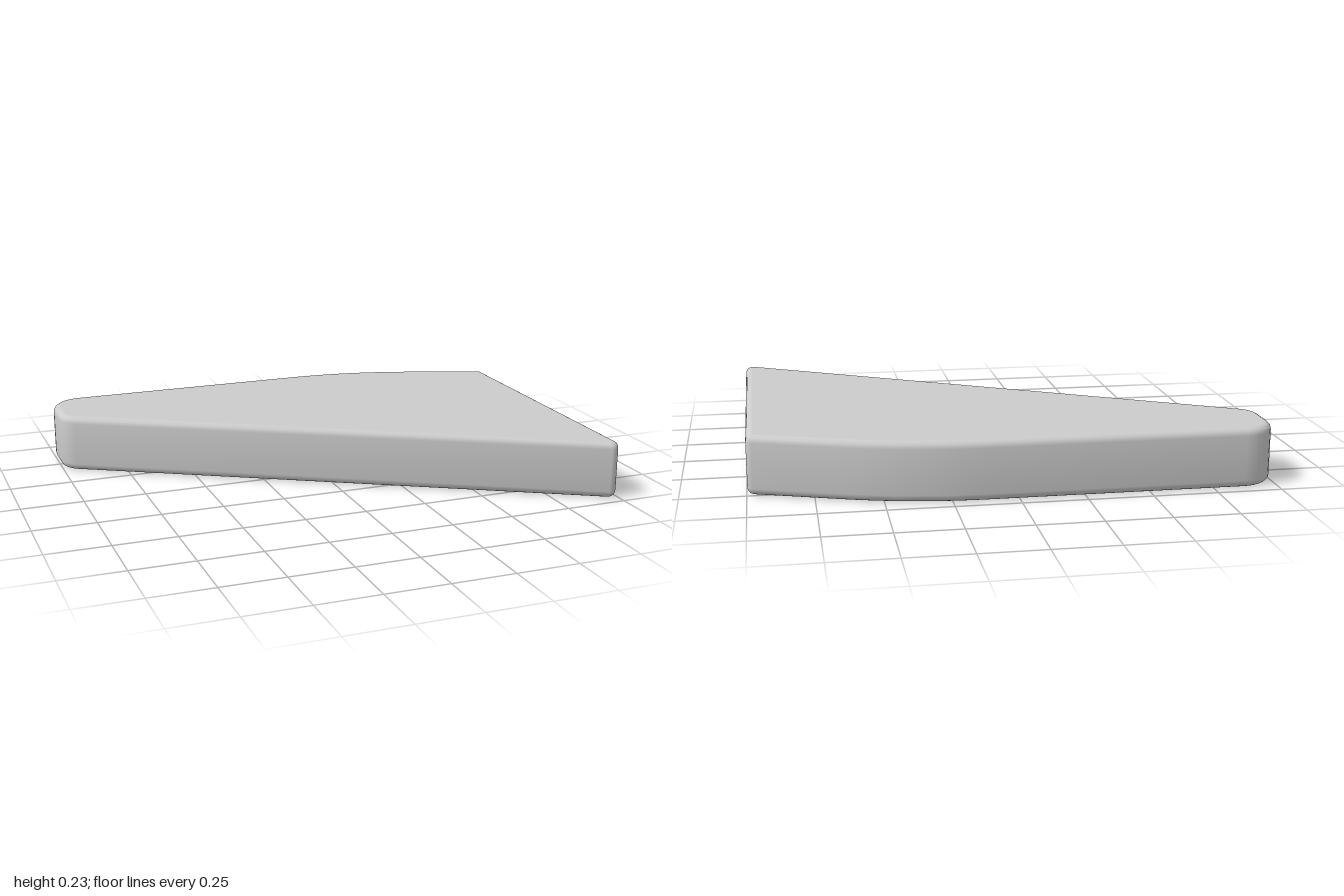
import * as THREE from 'three';
import { toCreasedNormals } from 'three/addons/utils/BufferGeometryUtils.js';

const HEIGHT = 0.232;
const BEVEL = 0.028;

// Corner arcs of the outline, seen from above: centre x, centre -z, radius, start and end angle
const CORNERS = [
  [0.967, -0.68, 0.03, -120, 0],  // sharp front tip
  [0.967, 0.475, 0.03, 0, 70],    // back right corner
  [0.12, -0.89, 1.6, 70, 90],     // long sweep along the back
  [-0.87, 0.58, 0.13, 90, 180],   // back left corner
  [-0.9, 0.475, 0.1, 180, 240],   // blunt narrow end
];

function outline() {
  const points = [];
  for (const [cx, cy, r, from, to] of CORNERS) {
    const steps = 8;
    for (let i = 0; i <= steps; i++) {
      const a = THREE.MathUtils.degToRad(from + ((to - from) * i) / steps);
      points.push(new THREE.Vector2(cx + r * Math.cos(a), cy + r * Math.sin(a)));
    }
  }
  return new THREE.Shape(points);
}

// Keep the flat top and bottom evenly shaded up to the rounded rim
function flattenCaps(geometry) {
  const p = geometry.attributes.position;
  const n = geometry.attributes.normal;
  for (let i = 0; i < p.count; i += 3) {
    const y = [p.getY(i), p.getY(i + 1), p.getY(i + 2)];
    if (Math.max(...y) - Math.min(...y) > 1e-5) continue;
    const up = y[0] > HEIGHT / 2 ? 1 : -1;
    for (let k = 0; k < 3; k++) n.setXYZ(i + k, 0, up, 0);
  }
}

export function createModel() {
  const group = new THREE.Group();
  group.name = 'wedgeSlab';

  // Slab with rounded top and bottom rims
  let geometry = new THREE.ExtrudeGeometry(outline(), {
    depth: HEIGHT - 2 * BEVEL,
    bevelEnabled: true,
    bevelThickness: BEVEL,
    bevelSize: BEVEL,
    bevelOffset: -BEVEL,
    bevelSegments: 5,
  });
  geometry.rotateX(-Math.PI / 2);
  geometry.translate(0, BEVEL, 0);
  geometry = toCreasedNormals(geometry, THREE.MathUtils.degToRad(35));
  flattenCaps(geometry);

  const slab = new THREE.Mesh(geometry, new THREE.MeshStandardMaterial({ color: 0xcccccc }));
  slab.name = 'slab';
  group.add(slab);
  return group;
}
